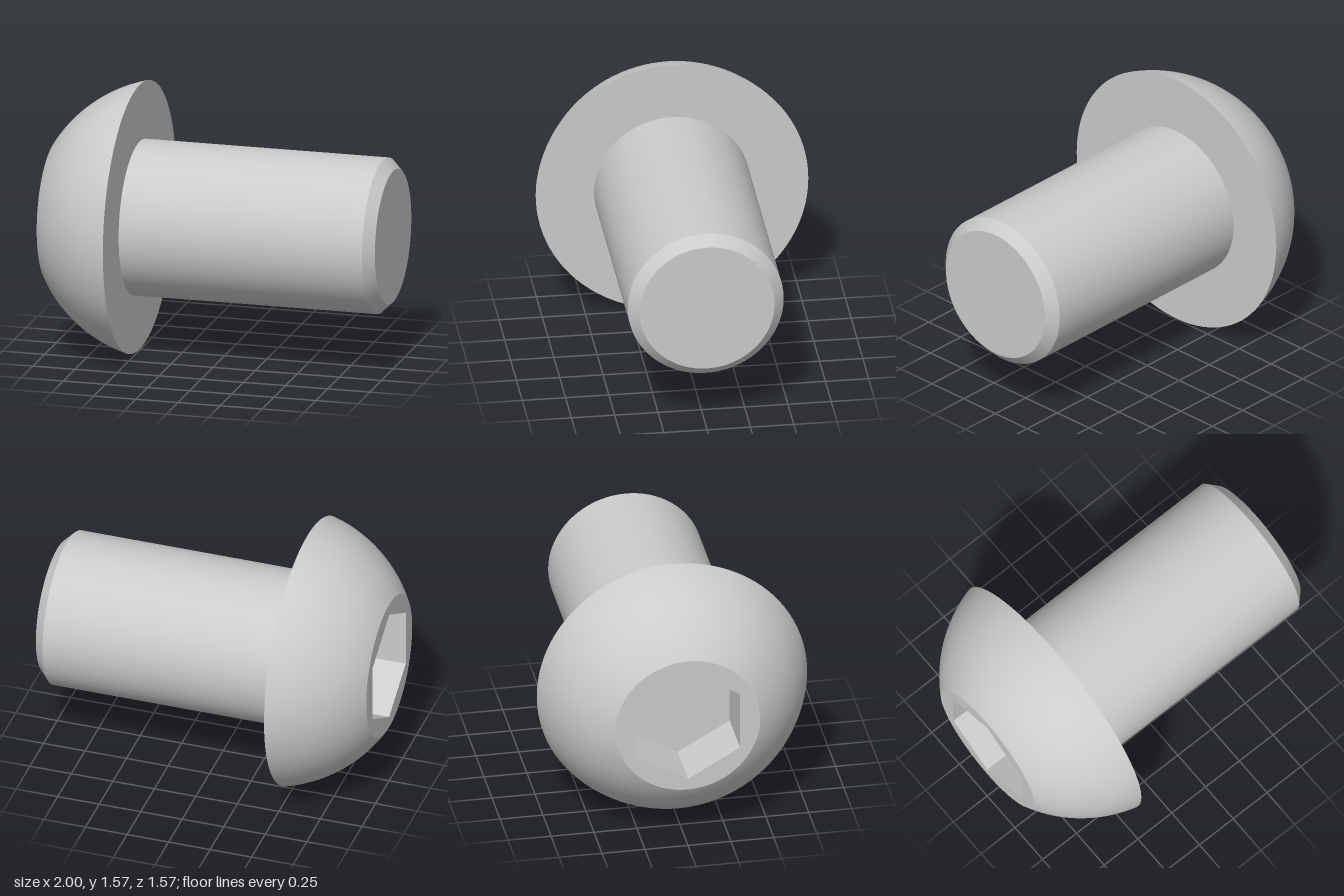
import * as THREE from 'three';

const SEGMENTS = 96;
const AXIS_Y = 0.787;
const HEAD_R = 0.787, FACE_R = 0.42, SHANK_R = 0.45, TIP_R = 0.39;
const FACE_X = -1, SEAT_X = -0.505, CHAMFER_X = 0.94, TIP_X = 1;
const HEX_R = 0.35, HEX_DEPTH = 0.32;

export function createModel() {
  const group = new THREE.Group();
  group.name = 'buttonHeadScrew';
  const material = new THREE.MeshStandardMaterial({ color: 0xcccccc });

  const add = (name, geometry) => {
    const mesh = new THREE.Mesh(geometry, material);
    mesh.name = name;
    group.add(mesh);
  };

  // Surface turned about the x axis from [radius, x] points; one per smooth zone keeps the edges sharp
  const turned = (name, profile) => {
    const points = profile.map(([r, x]) => new THREE.Vector2(r, x));
    add(name, new THREE.LatheGeometry(points, SEGMENTS).rotateZ(-Math.PI / 2));
  };

  // Domed head: an arc of a sphere centred on the axis
  const centre = -0.305, radius = Math.hypot(HEAD_R, SEAT_X - centre);
  const start = Math.atan2(FACE_R, FACE_X - centre);
  const end = Math.atan2(HEAD_R, SEAT_X - centre);
  const dome = [];
  for (let i = 0; i <= 24; i++) {
    const a = start + (end - start) * i / 24;
    dome.push([radius * Math.sin(a), centre + radius * Math.cos(a)]);
  }
  turned('headDome', dome);
  turned('headUnderside', [[HEAD_R, SEAT_X], [SHANK_R, SEAT_X]]);

  // Shank with chamfered tip
  turned('shank', [[SHANK_R, SEAT_X], [SHANK_R, CHAMFER_X]]);
  turned('tipChamfer', [[SHANK_R, CHAMFER_X], [TIP_R, TIP_X]]);
  add('tipFace', new THREE.CircleGeometry(TIP_R, SEGMENTS).rotateY(Math.PI / 2).translate(TIP_X, 0, 0));

  // Flat face of the head, pierced by the hexagon
  const face = new THREE.Shape().absarc(0, 0, FACE_R, 0, Math.PI * 2);
  const hexagon = [];
  for (let i = 0; i < 6; i++) {
    const a = Math.PI / 2 - i * Math.PI / 3;
    hexagon.push(new THREE.Vector2(HEX_R * Math.cos(a), HEX_R * Math.sin(a)));
  }
  face.holes.push(new THREE.Path(hexagon));
  add('headFace', new THREE.ShapeGeometry(face, SEGMENTS).rotateY(-Math.PI / 2).translate(FACE_X, 0, 0));

  // Hex socket: mirrored prism so the walls face inward, plus a flat floor
  const prism = new THREE.CylinderGeometry(HEX_R, HEX_R, HEX_DEPTH, 6, 1, true, Math.PI / 6);
  // Swapping two corners of every triangle turns the walls inside out
  const index = prism.index;
  for (let i = 0; i < index.count; i += 3) {
    const b = index.getX(i + 1);
    index.setX(i + 1, index.getX(i + 2));
    index.setX(i + 2, b);
  }
  const walls = prism.toNonIndexed().rotateZ(-Math.PI / 2).translate(FACE_X + HEX_DEPTH / 2, 0, 0);
  walls.computeVertexNormals();
  add('socketWalls', walls);
  add('socketFloor', new THREE.CircleGeometry(HEX_R, 6, Math.PI / 2)
    .rotateY(-Math.PI / 2).translate(FACE_X + HEX_DEPTH, 0, 0));

  group.position.y = AXIS_Y;
  return group;
}
